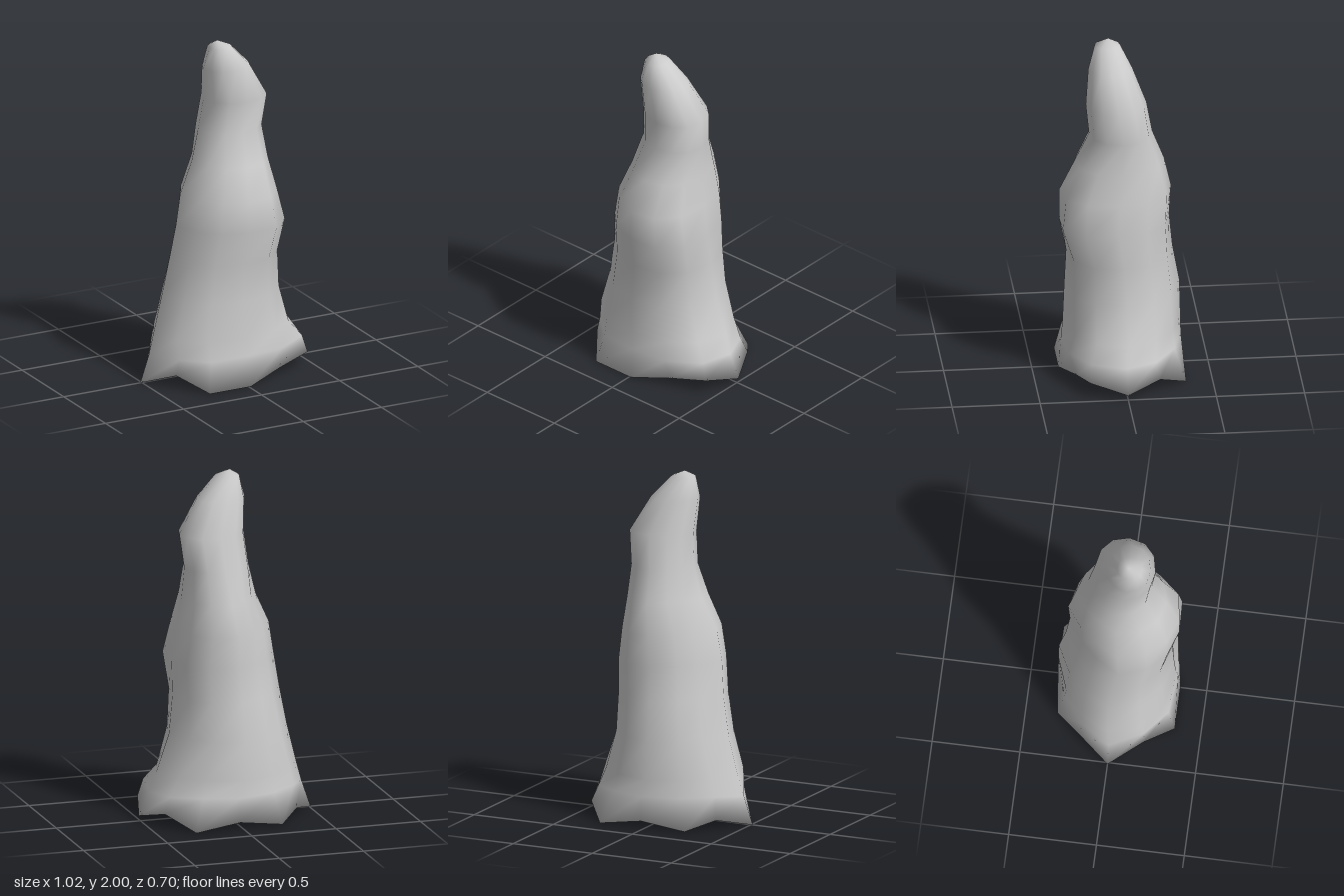
import * as THREE from 'three';

const SIDES = 12;

// Uneven foot outline and the shoulder just above it: [x, y, z], going from +x round to +z
const foot = [
  [0.51, 0.03, 0], [0.45, 0.09, 0.21], [0.24, 0.05, 0.27], [0.01, 0, 0.35],
  [-0.25, 0, 0.35], [-0.38, 0.08, 0.19], [-0.51, 0, 0], [-0.37, 0.05, -0.18],
  [-0.24, 0, -0.32], [0.02, 0.04, -0.35], [0.28, 0, -0.35], [0.415, 0.08, -0.19],
];
const shoulder = [
  [0.45, 0.17, 0], [0.42, 0.19, 0.2], [0.23, 0.18, 0.31], [0.01, 0.18, 0.335],
  [-0.22, 0.17, 0.31], [-0.36, 0.17, 0.19], [-0.455, 0.16, 0], [-0.355, 0.18, -0.165],
  [-0.2, 0.18, -0.285], [0.02, 0.18, -0.345], [0.22, 0.18, -0.29], [0.38, 0.17, -0.17],
];

// Rings of the shaft: [height, xMin, xMax, zMin, zMax, fullness of each corner]
// Corners: front left, front right, back right, back left
const levels = [
  [0.28, -0.42, 0.41, -0.345, 0.325, [0.98, 1, 0.9, 0.92]],
  [0.5, -0.365, 0.335, -0.34, 0.315, [1, 0.97, 0.86, 0.92]],
  [0.72, -0.325, 0.31, -0.3, 0.305, [1.03, 0.97, 0.84, 0.97]],
  [0.92, -0.3, 0.305, -0.28, 0.345, [1.12, 0.95, 0.83, 1.01]],
  [1.1, -0.27, 0.28, -0.29, 0.345, [1.05, 0.94, 0.82, 1]],
  [1.28, -0.185, 0.255, -0.25, 0.265, [1.01, 1, 0.83, 0.97]],
  [1.46, -0.14, 0.24, -0.18, 0.18, [1, 1, 0.95, 0.97]],
  [1.65, -0.12, 0.26, -0.145, 0.2, [1, 1, 0.96, 1]],
  [1.84, -0.135, 0.15, -0.07, 0.18, [0.97, 1, 0.95, 1]],
  [1.965, -0.105, 0.03, -0.005, 0.14, [1, 1, 1, 1]],
];

// Slightly squared oval filling the given bounds, with each corner fuller or flatter
function oval([y, x0, x1, z0, z1, corners]) {
  const squared = (v) => Math.sign(v) * Math.abs(v) ** 0.92;
  return Array.from({ length: SIDES }, (_, i) => {
    const a = (i / SIDES) * Math.PI * 2;
    const full = i % 3 === 0 ? 1 : corners[Math.floor(i / 3)];
    return [
      (x0 + x1) / 2 + (full * squared(Math.cos(a)) * (x1 - x0)) / 2,
      y,
      (z0 + z1) / 2 + (full * squared(Math.sin(a)) * (z1 - z0)) / 2,
    ];
  });
}

// Skin over the rings, closed by a point at each end
function loft(rings, bottom, top) {
  const points = [...rings.flat(), bottom, top];
  const bottomId = points.length - 2;
  const topId = points.length - 1;
  const last = (rings.length - 1) * SIDES;
  const index = [];
  for (let j = 0; j < SIDES; j++) {
    const k = (j + 1) % SIDES;
    for (let r = 0; r < last; r += SIDES) {
      const a = r + j, b = r + k, c = a + SIDES, d = b + SIDES;
      index.push(a, c, b, b, c, d);
    }
    index.push(bottomId, j, k, topId, last + k, last + j);
  }
  const geometry = new THREE.BufferGeometry();
  geometry.setAttribute('position', new THREE.Float32BufferAttribute(points.flat(), 3));
  geometry.setIndex(index);
  geometry.computeVertexNormals();
  return geometry;
}

export function createModel() {
  const group = new THREE.Group();
  group.name = 'stalagmite';
  const rings = [foot, shoulder, ...levels.map(oval)];
  const rock = new THREE.Mesh(
    loft(rings, [0, 0.02, 0], [-0.05, 2, 0.06]),
    new THREE.MeshStandardMaterial({ color: 0xcccccc })
  );
  rock.name = 'rockSpire';
  group.add(rock);
  return group;
}
